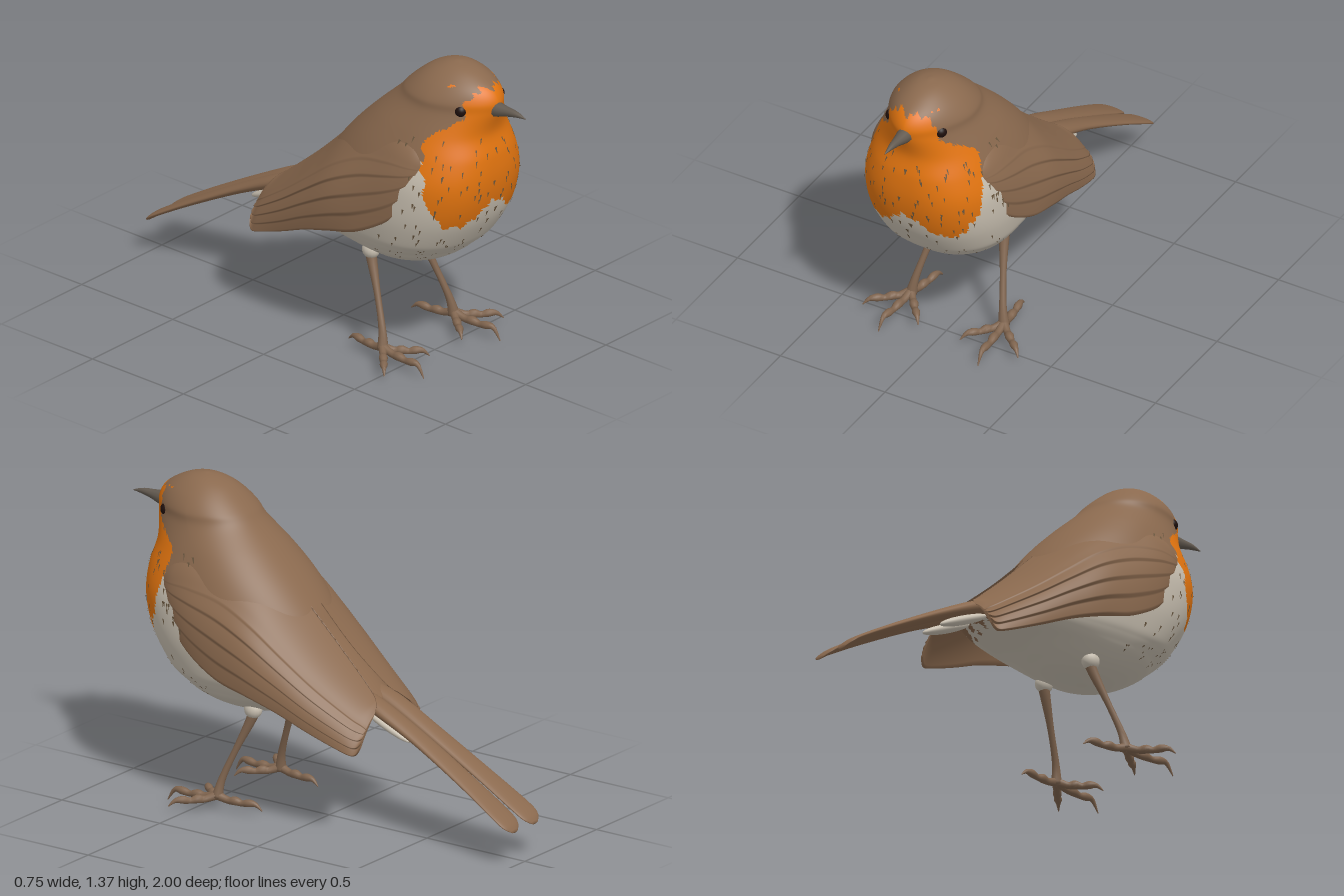
import * as THREE from 'three';
import { mergeVertices } from 'three/addons/utils/BufferGeometryUtils.js';

const mat = (name, color, side = THREE.FrontSide) => {
  const m = new THREE.MeshStandardMaterial({ color, side });
  m.name = name;
  return m;
};

// Smoothly interpolated row of a table at parameter u in 0..1
function sample(rows, u) {
  const t = u * (rows.length - 1);
  const i = Math.min(Math.floor(t), rows.length - 2), f = t - i;
  const row = (k) => rows[Math.max(0, Math.min(rows.length - 1, k))];
  return row(i).map((b, k) => {
    const a = row(i - 1)[k], c = row(i + 1)[k], d = row(i + 2)[k];
    return b + 0.5 * f * (c - a + f * (2 * a - 5 * b + 4 * c - d + f * (3 * (b - c) + d - a)));
  });
}

// Closed skin over rings of points, turned so that it faces outward
function loft(steps, sides, point) {
  const pos = [], index = [];
  for (let r = 0; r <= steps; r++)
    for (let s = 0; s < sides; s++) pos.push(...point(r / steps, s / sides));
  const cap = (r) => {
    const c = [0, 0, 0];
    for (let s = 0; s < sides; s++) for (let k = 0; k < 3; k++) c[k] += pos[(r * sides + s) * 3 + k] / sides;
    pos.push(...c);
    return pos.length / 3 - 1;
  };
  const c0 = cap(0), c1 = cap(steps), last = steps * sides;
  for (let s = 0; s < sides; s++) {
    const n = (s + 1) % sides;
    index.push(c0, n, s, c1, last + s, last + n);
    for (let r = 0; r < steps; r++) {
      const a = r * sides + s, b = r * sides + n;
      index.push(a, b, a + sides, b, b + sides, a + sides);
    }
  }
  const v = (i) => new THREE.Vector3().fromArray(pos, i * 3);
  let volume = 0;
  for (let i = 0; i < index.length; i += 3) volume += v(index[i]).dot(v(index[i + 1]).cross(v(index[i + 2])));
  if (volume < 0) index.reverse();
  const g = new THREE.BufferGeometry();
  g.setAttribute('position', new THREE.Float32BufferAttribute(pos, 3));
  g.setIndex(index);
  g.computeVertexNormals();
  return g;
}

// Tapered limb through [x, y, z, radius] rows
function limb(rows, steps = 20) {
  return loft(steps, 10, (u, s) => {
    const [x, y, z, r] = sample(rows, u);
    const p = sample(rows, Math.max(0, u - 0.02)), q = sample(rows, Math.min(1, u + 0.02));
    const dir = new THREE.Vector3(q[0] - p[0], q[1] - p[1], q[2] - p[2]).normalize();
    const e = new THREE.Vector3(0.3, 0.2, -0.1).cross(dir).normalize(), f = dir.cross(e);
    const a = s * Math.PI * 2, c = Math.cos(a) * r, d = Math.sin(a) * r;
    return [x + e.x * c + f.x * d, y + e.y * c + f.y * d, z + e.z * c + f.z * d];
  });
}

// Body levels: y, middle z, front z, back z, half width, front bluntness
const BODY = [
  [0.415, 0.36, 0.38, 0.34, 0.02, 2], [0.43, 0.36, 0.48, 0.2, 0.1, 2], [0.46, 0.37, 0.56, 0.1, 0.17, 2.1],
  [0.5, 0.38, 0.63, -0.03, 0.225, 2.2], [0.53, 0.39, 0.665, -0.2, 0.25, 2.2], [0.56, 0.4, 0.7, -0.27, 0.27, 2.3],
  [0.6, 0.41, 0.735, -0.24, 0.288, 2.4], [0.7, 0.42, 0.795, -0.12, 0.31, 2.5], [0.8, 0.43, 0.83, -0.01, 0.316, 2.6],
  [0.9, 0.44, 0.845, 0.06, 0.31, 2.6], [1.0, 0.46, 0.84, 0.145, 0.28, 2.5], [1.1, 0.51, 0.82, 0.245, 0.24, 2.2],
  [1.2, 0.58, 0.845, 0.355, 0.192, 1.75], [1.25, 0.6, 0.85, 0.4, 0.18, 1.65], [1.3, 0.61, 0.82, 0.455, 0.145, 1.75],
  [1.34, 0.62, 0.76, 0.51, 0.1, 1.9], [1.365, 0.63, 0.7, 0.57, 0.055, 2], [1.376, 0.63, 0.64, 0.62, 0.008, 2],
];
function bodyPoint(u, s) {
  const [y, zc, zf, zb, w, blunt] = sample(BODY, u);
  const a = s * Math.PI * 2, sx = Math.sin(a), cz = Math.cos(a), p = 2 / (cz > 0 ? blunt : 2.1);
  return [w * Math.sign(sx) * Math.abs(sx) ** p, y,
    zc + (cz > 0 ? zf - zc : zc - zb) * Math.sign(cz) * Math.abs(cz) ** p];
}

// Plumage colour: 0 brown, 1 orange bib and face, 2 pale belly
const BIB = [[0.6, 0.76], [0.72, 0.74], [0.85, 0.69], [1.0, 0.655], [1.1, 0.64], [1.19, 0.765], [1.31, 0.78]];
function plumage(x, y, z) {
  const ragged = 0.007 * (Math.sin(x * 95 + y * 40) + Math.sin(x * 170 - z * 120));
  const ax = Math.abs(x);
  const yb = y + ragged, low = 0.8 - 0.09 * THREE.MathUtils.smoothstep(ax, 0, 0.16);
  if (yb > low && yb < 1.305) {
    const i = Math.max(1, BIB.findIndex((b) => y < b[0]));
    const [y0, z0] = BIB[i - 1], [y1, z1] = BIB[i];
    if (z + ragged > z0 + (z1 - z0) * (y - y0) / (y1 - y0)) return 1;
  }
  return yb < 0.53 + 0.47 * THREE.MathUtils.clamp((z + 0.1) / 0.7, 0, 1) ? 2 : 0;
}

function colourBody(g) {
  const p = g.attributes.position, id = g.index.array, sets = [[], [], []];
  for (let i = 0; i < id.length; i += 3) {
    const t = [id[i], id[i + 1], id[i + 2]];
    const mid = (get) => t.reduce((sum, k) => sum + get(k), 0) / 3;
    sets[plumage(mid((k) => p.getX(k)), mid((k) => p.getY(k)), mid((k) => p.getZ(k)))].push(...t);
  }
  g.setIndex(sets.flat());
  let start = 0;
  sets.forEach((s, m) => { g.addGroup(start, s.length, m); start += s.length; });
  return g;
}

// Small pointed feather marks lying on the breast
function fleckGeometry() {
  const pos = [];
  let seed = 7;
  const rnd = () => (seed = (seed * 16807) % 2147483647) / 2147483647;
  for (let i = 0; i < 190; i++) {
    const u = 0.18 + 0.46 * rnd(), s = (rnd() - 0.5) * 0.5, w = 0.0022, h = 0.008;
    for (const [du, ds] of [[h, -w], [-h, 0], [h, w]]) {
      const [x, y, z] = bodyPoint(u + du, s + ds);
      pos.push(x * 1.01, y, z + 0.004);
    }
  }
  const g = new THREE.BufferGeometry();
  g.setAttribute('position', new THREE.Float32BufferAttribute(pos, 3));
  g.computeVertexNormals();
  return mergeVertices(g);
}

// Folded wing sections: z, upper edge x y, bulge x y, lower edge x y
const WING = [
  [0.67, 0.25, 1.0, 0.262, 0.97, 0.255, 0.93], [0.6, 0.22, 1.08, 0.33, 1.0, 0.285, 0.8],
  [0.5, 0.17, 1.13, 0.365, 1.02, 0.31, 0.7], [0.35, 0.08, 1.13, 0.385, 1.0, 0.325, 0.615],
  [0.2, 0.04, 1.04, 0.4, 0.92, 0.32, 0.57], [0.05, 0.03, 0.89, 0.38, 0.8, 0.3, 0.52],
  [-0.1, 0.03, 0.745, 0.34, 0.68, 0.275, 0.455], [-0.25, 0.05, 0.615, 0.27, 0.57, 0.245, 0.395],
  [-0.3, 0.08, 0.575, 0.22, 0.53, 0.23, 0.385], [-0.32, 0.12, 0.54, 0.19, 0.5, 0.215, 0.42],
];
function wingPoint(side) {
  return (u, s) => {
    const [z, ux, uy, cx, cy, lx, ly] = sample(WING, u);
    const outer = s < 0.8, t = outer ? s / 0.8 : (1 - s) / 0.2, k = outer ? 1 : 0.35;
    const bx = (ux + lx) / 2, by = (uy + ly) / 2;
    const qx = bx + (cx - bx) * k, qy = by + (cy - by) * k;
    const bez = (a, b, c) => (1 - t) ** 2 * a + 2 * t * (1 - t) * b + t * t * c;
    // overlapping flight feathers as stepped ridges
    const ridge = outer ? 0.013 * ((t * 8) % 1) * THREE.MathUtils.smoothstep(t, 0.4, 0.6) * Math.min(1, u * 2) : 0;
    return [side * (bez(ux, qx, lx) + ridge), bez(uy, qy, ly), z];
  };
}

// Tail half sections: z, y, middle x, half width, half thickness
const TAIL = [
  [-0.15, 0.6, 0.04, 0.04, 0.03], [-0.3, 0.545, 0.052, 0.05, 0.032], [-0.5, 0.45, 0.052, 0.05, 0.024],
  [-0.75, 0.315, 0.06, 0.055, 0.018], [-0.93, 0.21, 0.068, 0.06, 0.014], [-0.98, 0.175, 0.07, 0.05, 0.012],
  [-1.0, 0.155, 0.07, 0.02, 0.006],
];

export function createModel() {
  const bird = new THREE.Group();
  bird.name = 'bird';
  const brown = mat('brownPlumage', 0x8a694e), orange = mat('orangePlumage', 0xe2740f);
  const pale = mat('palePlumage', 0xc9c0b1), dark = mat('featherMark', 0x6a573f, THREE.DoubleSide);
  const skin = mat('legSkin', 0x80654f), horn = mat('billHorn', 0x635a50), black = mat('eyeBlack', 0x1e0f0c);
  const add = (name, geometry, material) => {
    const m = new THREE.Mesh(geometry, material);
    m.name = name;
    bird.add(m);
    return m;
  };

  add('body', colourBody(loft(140, 160, bodyPoint)), [brown, orange, pale]);
  add('breastFlecks', fleckGeometry(), dark);
  add('bill', limb([[0, 1.215, 0.8, 0.04], [0, 1.217, 0.85, 0.032], [0, 1.222, 0.9, 0.021],
    [0, 1.225, 0.95, 0.013], [0, 1.22, 1.0, 0.002]]), horn);

  for (const side of [1, -1]) {
    const label = side > 0 ? 'left' : 'right';
    const eye = add(label + 'Eye', new THREE.SphereGeometry(0.028, 24, 16), black);
    eye.position.set(side * 0.115, 1.22, 0.745);

    add(label + 'Wing', loft(60, 100, wingPoint(side)), brown);

    add(label + 'TailHalf', loft(36, 24, (u, s) => {
      const [z, y, cx, hw, ht] = sample(TAIL, u), a = s * Math.PI * 2;
      return [side * (cx + hw * Math.cos(a)), y + ht * Math.sin(a), z];
    }), brown);

    // pale feathers below the tail root
    const covert = add(label + 'UndertailCovert', new THREE.SphereGeometry(1, 16, 12), pale);
    covert.scale.set(0.03, 0.02, 0.14);
    covert.position.set(side * 0.055, 0.485, -0.33);
    covert.rotation.x = -0.42;

    // leg, pale tuft and four clawed toes
    const thigh = add(label + 'Thigh', new THREE.SphereGeometry(1, 16, 12), pale);
    thigh.scale.set(0.035, 0.04, 0.04);
    thigh.position.set(side * 0.148, 0.45, 0.28);
    const part = (name, rows) => add(label + name, limb(rows.map(([x, y, z, r]) => [side * x, y, z, r])), skin);
    part('Leg', [[0.145, 0.46, 0.27, 0.026], [0.152, 0.4, 0.29, 0.022], [0.18, 0.27, 0.345, 0.014],
      [0.208, 0.14, 0.395, 0.016], [0.222, 0.06, 0.41, 0.025]]);
    const toes = { InnerToe: [0.1, 0.56], MiddleToe: [0.238, 0.65], OuterToe: [0.372, 0.55], BackToe: [0.195, 0.2] };
    for (const [name, [tx, tz]] of Object.entries(toes)) {
      const tipY = name === 'MiddleToe' ? 0.006 : 0.033;
      const at = (f, y, r) => [0.222 + (tx - 0.222) * f, y, 0.41 + (tz - 0.41) * f, r];
      part(name, [at(0, 0.07, 0.02), at(0.25, 0.055, 0.015), at(0.4, 0.058, 0.019), at(0.55, 0.052, 0.013),
        at(0.7, 0.058, 0.017), at(0.86, 0.056, 0.01), at(1, tipY, 0.002)]);
    }
  }
  return bird;
}
